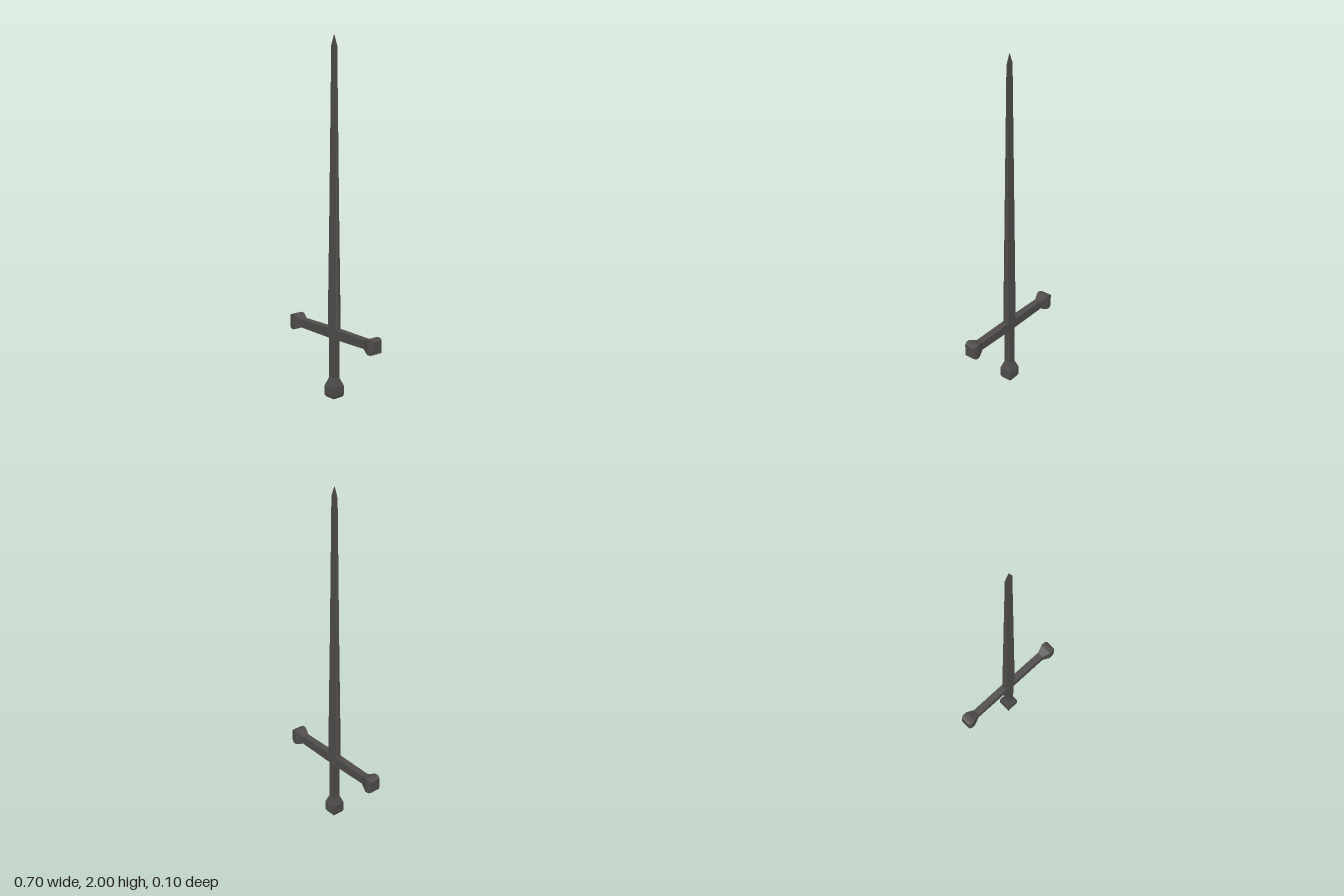
import * as THREE from 'three';

const SQUARE = [[1, 1], [1, -1], [-1, -1], [-1, 1]];
// Flat-faced blade section with narrow bevelled edges
const BLADE = [[1, 0.5], [1, -0.5], [0.8, -1], [-0.8, -1], [-0.8, 1], [0.8, 1]];
BLADE.splice(4, 0, [-1, -0.5], [-1, 0.5]);

// Skins an outline through sections [height, half width, half depth]
function loft(outline, sections) {
  const pos = [];
  const n = outline.length;
  const rings = sections.map(([y, w, d]) => outline.map(([x, z]) => [x * w, y, z * d]));
  const tri = (a, b, c) => pos.push(...a, ...b, ...c);
  for (let i = 0; i < rings.length - 1; i++) {
    for (let j = 0; j < n; j++) {
      const k = (j + 1) % n;
      tri(rings[i][j], rings[i][k], rings[i + 1][k]);
      tri(rings[i][j], rings[i + 1][k], rings[i + 1][j]);
    }
  }
  const bottom = rings[0], top = rings[rings.length - 1];
  for (let j = 1; j < n - 1; j++) {
    tri(bottom[0], bottom[j + 1], bottom[j]);
    tri(top[0], top[j], top[j + 1]);
  }
  const geo = new THREE.BufferGeometry();
  geo.setAttribute('position', new THREE.Float32BufferAttribute(pos, 3));
  geo.computeVertexNormals();
  return geo;
}

export function createModel() {
  const sword = new THREE.Group();
  sword.name = 'sword';
  const steel = new THREE.MeshStandardMaterial({ color: 0x4f4b4b });
  steel.name = 'darkSteel';

  const add = (name, geometry) => {
    const mesh = new THREE.Mesh(geometry, steel);
    mesh.name = name;
    sword.add(mesh);
    return mesh;
  };

  // Long tapering blade with a short point
  add('blade', loft(BLADE, [
    [0.36, 0.042, 0.019], [1.945, 0.023, 0.0025], [2, 0.002, 0.001],
  ]));

  // Square grip
  add('grip', loft(SQUARE, [[0.1, 0.02, 0.02], [0.36, 0.021, 0.021]]));

  // Flared square pommel
  add('pommel', loft(SQUARE, [
    [0, 0.031, 0.031], [0.012, 0.038, 0.038], [0.065, 0.038, 0.038], [0.115, 0.02, 0.02],
  ]));

  // Crossguard bar
  const bar = add('crossguard', loft(SQUARE, [
    [-0.27, 0.024, 0.02], [0, 0.028, 0.02], [0.27, 0.024, 0.02],
  ]).rotateZ(-Math.PI / 2));
  bar.position.y = 0.371;

  // Flared knobs on both ends of the crossguard
  for (const side of [1, -1]) {
    const knob = add(side > 0 ? 'leftKnob' : 'rightKnob', loft(SQUARE, [
      [0.262, 0.024, 0.02], [0.308, 0.043, 0.037], [0.332, 0.043, 0.037], [0.348, 0.034, 0.031],
    ]).rotateZ(-side * Math.PI / 2));
    knob.position.y = 0.371;
  }

  // The whole sword is turned slightly about its axis
  sword.rotation.y = 0.04;
  return sword;
}
